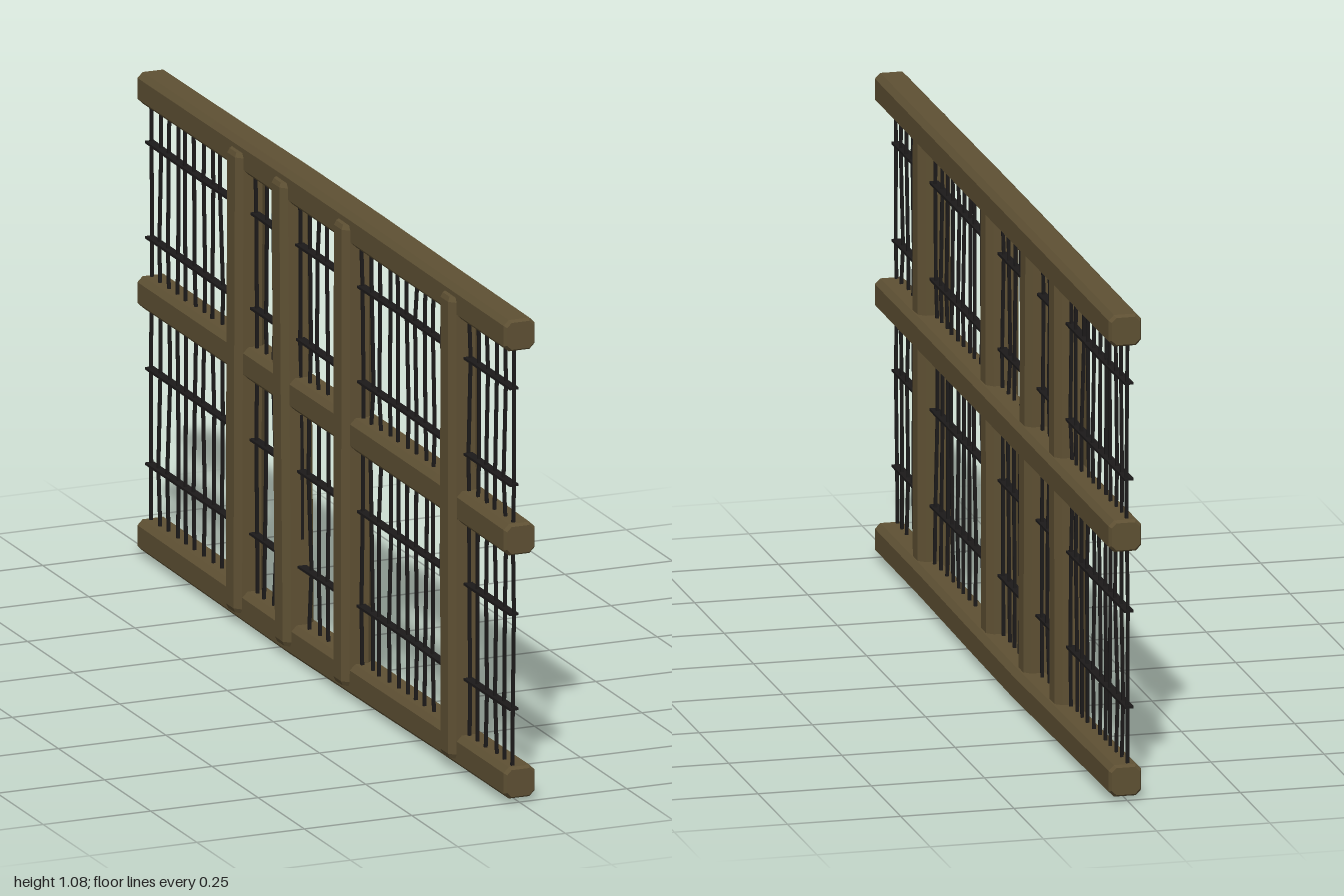
import * as THREE from 'three';

const wood = new THREE.MeshStandardMaterial({ color: 0x5e5033 });
wood.name = 'weatheredWood';
wood.flatShading = true;
const iron = new THREE.MeshStandardMaterial({ color: 0x1c1a1a });
iron.name = 'darkIron';
iron.flatShading = true;

// Chamfered beam through rings [x, y, z, scale], running along +z or +y.
// The section spans (x, y) for a z beam and (z, x) for a y beam.
function beam(name, rings, axis, a, b, chamfer, material) {
  const section = chamfer
    ? [[a, -b + chamfer], [a, b - chamfer], [a - chamfer, b], [-a + chamfer, b],
      [-a, b - chamfer], [-a, -b + chamfer], [-a + chamfer, -b], [a - chamfer, -b]]
    : [[a, -b], [a, b], [-a, b], [-a, -b]];
  const n = section.length;
  const pos = [], index = [];
  for (const [x, y, z, s = 1] of rings) {
    for (const [u, v] of section) {
      if (axis === 'z') pos.push(x + u * s, y + v * s, z);
      else pos.push(x + v * s, y, z + u * s);
    }
  }
  for (let r = 0; r < rings.length - 1; r++) {
    for (let i = 0; i < n; i++) {
      const p = r * n + i, q = r * n + (i + 1) % n;
      index.push(p, q, q + n, p, q + n, p + n);
    }
  }
  const last = (rings.length - 1) * n;
  for (let i = 1; i < n - 1; i++) {
    index.push(0, i + 1, i, last, last + i, last + i + 1);
  }
  const geometry = new THREE.BufferGeometry();
  geometry.setAttribute('position', new THREE.Float32BufferAttribute(pos, 3));
  geometry.setIndex(index);
  const flat = geometry.toNonIndexed();
  flat.computeVertexNormals();
  const mesh = new THREE.Mesh(flat, material);
  mesh.name = name;
  return mesh;
}

// Small seeded random for hand-made irregularity
let seed = 7;
const jitter = (amount) => {
  seed = (seed * 16807) % 2147483647;
  return (seed / 2147483647 - 0.5) * 2 * amount;
};

export function createModel() {
  const group = new THREE.Group();

  // Horizontal rails with a gentle sway: [centre y, sway, z of strongest sway]
  const rails = [
    ['bottomRail', 0.047, -0.007, -0.15],
    ['middleRail', 0.59, 0.004, 0.4],
    ['topRail', 1.046, 0.003, 0],
  ];
  for (const [name, y, sway, peak] of rails) {
    const rings = [[0.003, y, -1, 0.86], [0.003, y, -0.992, 1]];
    for (const z of [-0.6, -0.2, 0.2, 0.6]) {
      const k = Math.max(0, 1 - Math.abs(z - peak) / 0.8);
      rings.push([0.003 + 0.002 * k, y + sway * k, z, 1 + 0.05 * k]);
    }
    rings.push([0.003, y, 0.992, 1], [0.003, y, 1, 0.86]);
    group.add(beam(name, rings, 'z', 0.036, 0.035, 0.012, wood));
  }

  // Upright posts behind the rails: [z at the foot, z at the head]
  const posts = [[0.703, 0.703], [0.123, 0.126], [-0.193, -0.212], [-0.46, -0.452]];
  posts.forEach(([z0, z1], i) => {
    const ring = (t, s) => [-0.011, 0.03 + 1.03 * t, z0 + (z1 - z0) * t, s];
    const rings = [ring(0, 0.88), ring(0.01, 1), ring(0.5, 1.01), ring(0.99, 1), ring(1, 0.88)];
    group.add(beam('post' + (i + 1), rings, 'y', 0.035, 0.036, 0.014, wood));
  });

  // Thin upright wires, slightly bent by hand
  const wires = new THREE.Group();
  wires.name = 'uprightWires';
  const count = 42;
  for (let i = 0; i < count; i++) {
    const z = 0.982 - (1.964 * i) / (count - 1);
    const bend = i === 0 || i === count - 1 ? 0 : 0.005;
    const rings = [0.04, 0.21, 0.42, 0.59, 0.71, 0.925, 1.05].map(
      (y) => [-0.006 + jitter(0.003), y, z + jitter(bend)]);
    wires.add(beam('uprightWire', rings, 'y', 0.0028, 0.0035, 0, iron));
  }
  group.add(wires);

  // Flat cross wires holding the uprights together
  const cross = new THREE.Group();
  cross.name = 'crossWires';
  for (const y of [0.208, 0.42, 0.711, 0.924]) {
    const rings = [];
    for (let i = 0; i <= 10; i++) {
      rings.push([-0.007, y + jitter(0.002), -0.988 + 0.1976 * i]);
    }
    cross.add(beam('crossWire', rings, 'z', 0.01, 0.0028, 0, iron));
  }
  group.add(cross);

  return group;
}
